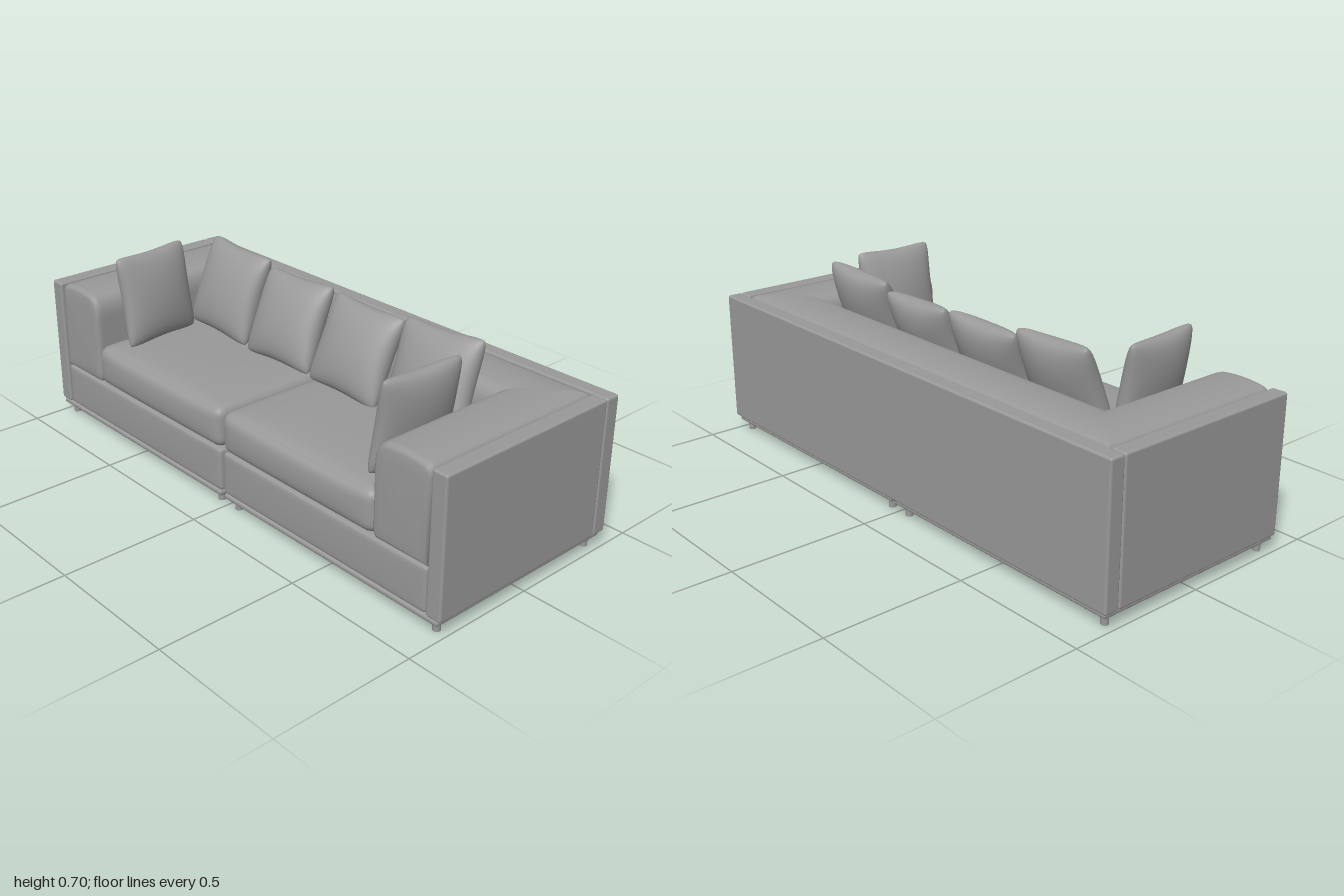
import * as THREE from 'three';
import { mergeGeometries, mergeVertices } from 'three/addons/utils/BufferGeometryUtils.js';
import { RoundedBoxGeometry } from 'three/addons/geometries/RoundedBoxGeometry.js';

const fabric = new THREE.MeshStandardMaterial({ color: 0x999999 });
fabric.name = 'grey fabric';

// Weld a geometry and give it smooth normals
function smooth(geo) {
  geo.deleteAttribute('uv');
  geo.deleteAttribute('normal');
  const g = mergeVertices(geo, 1e-5);
  g.computeVertexNormals();
  return g;
}

// Move every vertex by a rule
function deform(geo, rule) {
  const p = geo.attributes.position, v = new THREE.Vector3();
  for (let i = 0; i < p.count; i++) {
    rule(v.fromBufferAttribute(p, i));
    p.setXYZ(i, v.x, v.y, v.z);
  }
  return geo;
}

const ease = t => Math.sin(t * Math.PI / 2);

// Upholstered block: rounded edges, with top and front swelling outwards
function softBox(w, h, d, r, top, front) {
  const half = new THREE.Vector3(w / 2, h / 2, d / 2);
  const inner = half.clone().subScalar(r);
  const c = new THREE.Vector3();
  return smooth(deform(new THREE.BoxGeometry(2, 2, 2, 22, 16, 22), v => {
    const u = ease(v.x), t = ease(v.y), s = ease(v.z);
    v.set(u, t, s).multiply(half);
    c.copy(v).clamp(inner.clone().negate(), inner);
    v.sub(c).normalize().multiplyScalar(r).add(c);
    if (t > 0) v.y += top * t * (1 - u ** 4) * (1 - s ** 4);
    if (s > 0) v.z += front * s * (1 - u ** 4) * (1 - t * t);
  }));
}

// Scatter cushion: two swollen sheets joined at a seam, with pinched sides
function pillowGeometry(w, h, thick) {
  const sheets = [0, Math.PI].map(a => {
    const sheet = deform(new THREE.PlaneGeometry(2, 2, 22, 22), v => {
      const u = ease(v.x), t = ease(v.y);
      const corner = 1 - 0.07 * u ** 6 * t ** 6;
      v.x = u * w / 2 * (1 - 0.08 * (1 - t * t)) * corner;
      v.y = t * h / 2 * (1 - 0.08 * (1 - u * u)) * corner;
      v.z = thick / 2 * Math.max(0, (1 - u * u) * (1 - t * t)) ** 0.42;
    });
    return sheet.rotateY(a);
  });
  return smooth(mergeGeometries(sheets));
}

// Section of the inner padding: x runs 0..1 from outside to inside, y is height
const section = new THREE.Shape();
section.moveTo(0, 0.213);
section.lineTo(0.93, 0.213);
section.quadraticCurveTo(1, 0.213, 1, 0.25);
section.lineTo(1, 0.46);
section.quadraticCurveTo(1, 0.541, 0.75, 0.546);
section.quadraticCurveTo(0.4, 0.555, 0.1, 0.542);
section.quadraticCurveTo(0, 0.538, 0, 0.51);
const profile = section.getPoints(8);

// Sweep the section through stations [x, z, inward x, inward z, scale]
function bolsterGeometry(stations) {
  const pos = [], idx = [], n = profile.length;
  for (const [x, z, dx, dz, s] of stations) {
    for (const p of profile) {
      const u = 0.5 + (p.x - 0.5) * s;
      pos.push(x + dx * u, 0.38 + (p.y - 0.38) * s, z + dz * u);
    }
  }
  for (let i = 0; i < stations.length - 1; i++) {
    for (let j = 0; j < n; j++) {
      const k = (j + 1) % n, a = i * n, b = a + n;
      idx.push(a + j, a + k, b + k, a + j, b + k, b + j);
    }
  }
  const geo = new THREE.BufferGeometry();
  geo.setAttribute('position', new THREE.Float32BufferAttribute(pos, 3));
  geo.setIndex(idx);
  geo.computeVertexNormals();
  return geo;
}

export function createModel() {
  const sofa = new THREE.Group();
  sofa.name = 'sofa';
  const add = (name, geo, x = 0, y = 0, z = 0) => {
    const mesh = new THREE.Mesh(geo, fabric);
    mesh.name = name;
    mesh.position.set(x, y, z);
    sofa.add(mesh);
    return mesh;
  };

  // Outer shell
  add('backPanel', new RoundedBoxGeometry(2, 0.484, 0.056, 3, 0.008), 0, 0.298, -0.362);

  // Base frame ring, made once for both halves
  const ring = new THREE.Shape();
  const rect = (path, a, b) => {
    path.moveTo(-a, -b);
    path.lineTo(a, -b);
    path.lineTo(a, b);
    path.lineTo(-a, b);
    path.closePath();
    return path;
  };
  rect(ring, 0.48, 0.368);
  ring.holes.push(rect(new THREE.Path(), 0.463, 0.351));
  const frameGeo = new THREE.ExtrudeGeometry(ring, {
    depth: 0.004, bevelEnabled: true, bevelSize: 0.008, bevelThickness: 0.008, bevelSegments: 4,
  }).rotateX(-Math.PI / 2);

  const footGeo = new THREE.CylinderGeometry(0.013, 0.013, 0.042, 20);
  const baseGeo = softBox(0.93, 0.157, 0.708, 0.012, 0, 0.003);
  const seatGeo = softBox(0.712, 0.15, 0.54, 0.035, 0.014, 0.012);
  const sideGeo = new RoundedBoxGeometry(0.058, 0.484, 0.711, 3, 0.008);

  // Arm padding runs from the mitred back corner to a rounded front end
  const armStations = [
    [-0.938, -0.332, 0.225, 0.212, 1], [-0.938, 0.1, 0.225, 0, 1],
    [-0.938, 0.35, 0.225, 0, 1], [-0.938, 0.363, 0.225, 0, 0.99],
    [-0.938, 0.371, 0.225, 0, 0.96], [-0.938, 0.375, 0.225, 0, 0.9],
    [-0.938, 0.377, 0.225, 0, 0.7], [-0.938, 0.378, 0.225, 0, 0],
  ];
  const mirrored = armStations.map(([x, z, dx, dz, s]) => [-x, z, -dx, dz, s]).reverse();
  add('rightArmPadding', bolsterGeometry(armStations));
  add('leftArmPadding', bolsterGeometry(mirrored));
  add('backPadding', bolsterGeometry([
    [0.938, -0.332, -0.225, 0.212, 1], [-0.938, -0.332, 0.225, 0.212, 1],
  ]));

  for (const [side, s] of [['left', 1], ['right', -1]]) {
    add(side + 'SidePanel', sideGeo, s * 0.971, 0.298, 0.0225);
    add(side + 'Base', baseGeo, s * 0.472, 0.1345, 0.021);
    add(side + 'SeatCushion', seatGeo, s * 0.361, 0.288, 0.109);
    add(side + 'Frame', frameGeo, s * 0.499, 0.043, -0.001);
    for (const x of [0.046, 0.957]) {
      for (const z of [0.342, -0.346]) add(side + 'Foot', footGeo, s * x, 0.021, z);
    }
  }

  // Back pillows: x, y, z, width, height, lean, roll
  const backPillows = [
    [-0.487, 0.535, -0.065, 0.335, 0.345, 0.36, -0.04],
    [-0.157, 0.518, -0.065, 0.335, 0.33, 0.42, 0.03],
    [0.18, 0.513, -0.065, 0.335, 0.33, 0.42, -0.02],
    [0.53, 0.53, -0.065, 0.34, 0.345, 0.36, 0.05],
  ];
  for (const [x, y, z, w, h, lean, roll] of backPillows) {
    add('backPillow', pillowGeometry(w, h, 0.135), x, y, z).rotation.set(-lean, 0, roll, 'YXZ');
  }

  // Side pillows lean on the arms
  const armPillows = [
    ['rightArmPillow', -0.652, 0.155, Math.PI / 2 + 0.1],
    ['leftArmPillow', 0.668, 0.16, -Math.PI / 2 - 0.06],
  ];
  for (const [name, x, z, turn] of armPillows) {
    add(name, pillowGeometry(0.325, 0.345, 0.11), x, 0.53, z).rotation.set(-0.17, turn, 0, 'YXZ');
  }
  return sofa;
}
